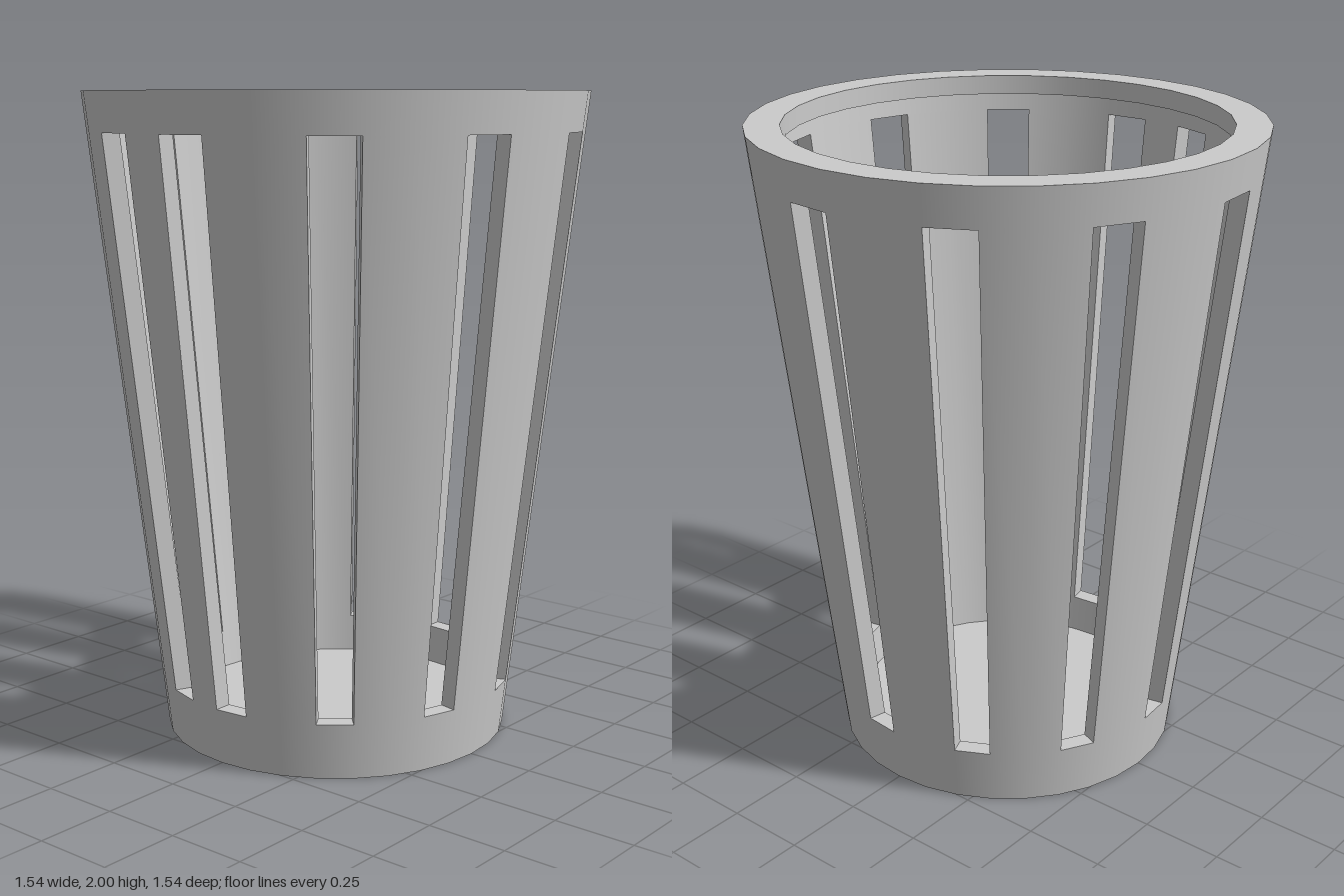
import * as THREE from 'three';
import { mergeGeometries } from 'three/addons/utils/BufferGeometryUtils.js';

const SIDES = 32, STEP = (Math.PI * 2) / SIDES;
const WALL = 0.055, FLOOR = 0.055, SLOT_BOTTOM = 0.175, SLOT_TOP = 1.88, LIP = 1.94, TOP = 2, LIP_R = 0.665;
const outer = (y) => 0.54 + (0.772 - 0.54) * (y / TOP);
const inner = (y) => outer(y) - WALL;

// One strip of revolution between two (radius, y) points, covering `count` facets from facet `first`.
// Facets are counted from +x towards +z.
function strip(r0, y0, r1, y1, first = 0, count = SIDES) {
  return new THREE.LatheGeometry([new THREE.Vector2(r0, y0), new THREE.Vector2(r1, y1)],
    count, Math.PI / 2 - (first + count) * STEP, count * STEP);
}

// Radial side face of a panel; dir 1 faces onward around the ring, -1 faces back
function sideFace(facet, dir) {
  const shape = new THREE.Shape([
    [inner(SLOT_BOTTOM), SLOT_BOTTOM], [outer(SLOT_BOTTOM), SLOT_BOTTOM],
    [outer(SLOT_TOP), SLOT_TOP], [inner(SLOT_TOP), SLOT_TOP],
  ].map(([r, y]) => new THREE.Vector2(r * dir, y)));
  return new THREE.ShapeGeometry(shape).rotateY((dir < 0 ? Math.PI : 0) - facet * STEP);
}

export function createModel() {
  const group = new THREE.Group();
  const material = new THREE.MeshStandardMaterial({ color: 0xcccccc });
  const add = (name, parts) => {
    const mesh = new THREE.Mesh(mergeGeometries(parts), material);
    mesh.name = name;
    group.add(mesh);
  };

  // Eleven slots, each one facet wide, with one narrow panel where the ring closes
  const slots = [0, 3, 6, 9, 12, 15, 17, 20, 23, 26, 29];

  // Solid base with its floor and the slot sills
  add('base', [
    strip(0, 0, outer(0), 0),
    strip(outer(0), 0, outer(SLOT_BOTTOM), SLOT_BOTTOM),
    strip(inner(SLOT_BOTTOM), SLOT_BOTTOM, inner(FLOOR), FLOOR),
    strip(inner(FLOOR), FLOOR, 0, FLOOR),
    ...slots.map((s) => strip(outer(SLOT_BOTTOM), SLOT_BOTTOM, inner(SLOT_BOTTOM), SLOT_BOTTOM, s, 1)),
  ]);

  // Upright wall panels between the slots
  slots.forEach((slot, i) => {
    const first = slot + 1, end = slots[i + 1] ?? SIDES;
    add('wallPanel' + (i + 1), [
      strip(outer(SLOT_BOTTOM), SLOT_BOTTOM, outer(SLOT_TOP), SLOT_TOP, first, end - first),
      strip(inner(SLOT_TOP), SLOT_TOP, inner(SLOT_BOTTOM), SLOT_BOTTOM, first, end - first),
      sideFace(first, -1),
      sideFace(end, 1),
    ]);
  });

  // Top band with the inward lip and the slot heads
  add('rim', [
    strip(outer(SLOT_TOP), SLOT_TOP, outer(TOP), TOP),
    strip(outer(TOP), TOP, LIP_R, TOP),
    strip(LIP_R, TOP, LIP_R, LIP),
    strip(LIP_R, LIP, inner(LIP), LIP),
    strip(inner(LIP), LIP, inner(SLOT_TOP), SLOT_TOP),
    ...slots.map((s) => strip(inner(SLOT_TOP), SLOT_TOP, outer(SLOT_TOP), SLOT_TOP, s, 1)),
  ]);

  return group;
}
